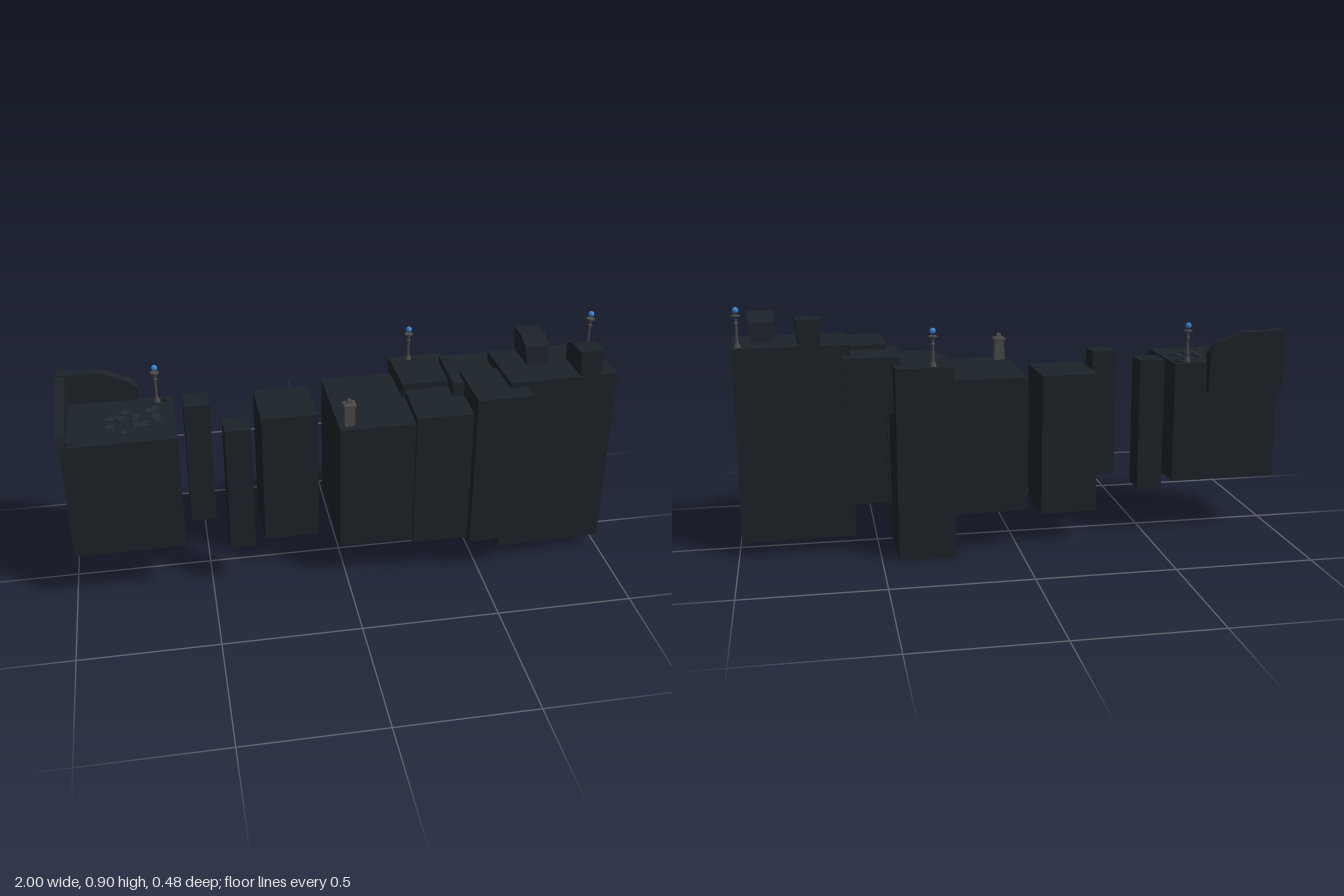
import * as THREE from 'three';

const mat = (color) => new THREE.MeshStandardMaterial({ color, flatShading: true });
const stone = mat(0x1c2329);
const rubbleMat = mat(0x222b36);
const metal = mat(0x4a4a4a);
const glow = new THREE.MeshStandardMaterial({ color: 0x3b82d6 });

export function createModel() {
  const root = new THREE.Group();

  function add(name, geometry, material, x = 0, y = 0, z = 0, parent = root) {
    const mesh = new THREE.Mesh(geometry, material);
    mesh.name = name;
    mesh.position.set(x, y, z);
    parent.add(mesh);
    return mesh;
  }

  // Block given by its overall extents, turned slightly about y
  function block(name, [x0, x1], [y0, y1], [z0, z1], turn = 0) {
    const s = Math.abs(Math.sin(turn));
    const w = x1 - x0, d = z1 - z0;
    const geo = new THREE.BoxGeometry(w - d * s, y1 - y0, d - w * s);
    add(name, geo, stone, (x0 + x1) / 2, (y0 + y1) / 2, (z0 + z1) / 2).rotation.y = turn;
  }

  // Flat outline extruded along z
  function slab(points, depth) {
    const shape = new THREE.Shape(points.map(([x, y]) => new THREE.Vector2(x, y)));
    return new THREE.ExtrudeGeometry(shape, { depth, bevelEnabled: false });
  }

  // Main platforms, from the model's right to its left
  block('endPlatform', [-0.993, -0.59], [0.208, 0.655], [-0.14, 0.182], 0.01);
  block('backPillar', [-0.56, -0.465], [0.18, 0.668], [-0.12, -0.02], 0.01);
  block('frontPillar', [-0.432, -0.338], [0.18, 0.668], [0.085, 0.187], 0.02);
  block('middlePlatform', [-0.295, -0.085], [0.12, 0.635], [-0.172, 0.062], 0.02);
  block('widePlatform', [-0.03, 0.25], [0.15, 0.64], [-0.21, 0.197], 0.008);
  block('tallBackBlock', [0.235, 0.445], [0, 0.693], [-0.243, -0.008], 0.02);
  block('lowFrontBlock', [0.245, 0.455], [0.145, 0.67], [-0.015, 0.215], -0.02);
  block('hangingBlock', [0.41, 0.615], [0.52, 0.72], [-0.165, 0.07], -0.02);
  block('highFrontBlock', [0.45, 0.658], [0.14, 0.737], [0, 0.24], 0.02);
  block('farPlatform', [0.583, 0.997], [0.054, 0.757], [-0.111, 0.168], 0.035);

  // Corner wall of rock: back panel overhanging the platform, and side panel
  const backWall = slab([[-1, 0.55], [-0.715, 0.55], [-0.715, 0.7], [-0.745, 0.73],
    [-0.84, 0.77], [-1, 0.773]], 0.04);
  add('rockWallBack', backWall, stone, 0, 0, -0.172);
  const sideWall = slab([[-0.182, 0.64], [0.17, 0.64], [0.17, 0.773], [0.08, 0.765],
    [-0.1, 0.73], [-0.17, 0.69]], 0.033);
  sideWall.rotateY(Math.PI / 2);
  add('rockWallSide', sideWall, stone, -1, 0, 0);

  // Rubble on the end platform
  let seed = 7;
  const rnd = () => (seed = (seed * 16807) % 2147483647) / 2147483647;
  for (let i = 0; i < 16; i++) {
    const size = 0.012 + rnd() * 0.025;
    const chip = add('rubble', new THREE.BoxGeometry(size, 0.008, size * 0.8), rubbleMat,
      -0.83 + rnd() * 0.19, 0.655, -0.06 + rnd() * 0.18);
    chip.rotation.y = rnd() * 3;
  }
  add('cornerRock', new THREE.DodecahedronGeometry(0.025), stone, -0.967, 0.66, 0.155);
  add('edgeRock', new THREE.DodecahedronGeometry(0.015), stone, -0.615, 0.655, -0.11);

  // Boulders on the far platform, chamfered on their outer ends
  function boulder(name, x, z, length, dir) {
    const h = 0.095, e = length / 2;
    const geo = slab([[-e, 0], [e, 0], [e, h], [-e + 0.065, h], [-e + 0.01, h - 0.025]], 0.09);
    geo.rotateY(Math.PI / 2).translate(-0.045, 0, 0);
    // Narrow the foot
    const p = geo.attributes.position;
    for (let i = 0; i < p.count; i++) if (p.getY(i) < 0.01) p.setX(i, p.getX(i) * 0.82);
    geo.computeVertexNormals();
    add(name, geo, stone, x, 0.755, z).rotation.y = dir;
  }
  boulder('backBoulder', 0.727, -0.03, 0.14, 0.03);
  boulder('frontBoulder', 0.89, 0.081, 0.145, Math.PI + 0.03);

  // Lamp posts with a dish and a glowing ball
  function lamp(x, y, z, h) {
    const g = new THREE.Group();
    g.name = 'lampPost';
    g.position.set(x, y, z);
    root.add(g);
    const profile = [[0, 0], [0.012, 0], [0.01, 0.008], [0.005, 0.02], [0.0045, h - 0.05],
      [0.0075, h - 0.048], [0.0075, h - 0.043], [0.004, h - 0.04], [0.005, h - 0.028],
      [0.016, h - 0.021], [0.016, h - 0.017], [0, h - 0.017]];
    const pts = profile.map(([r, py]) => new THREE.Vector2(r, py));
    add('post', new THREE.LatheGeometry(pts, 8), metal, 0, 0, 0, g);
    add('ball', new THREE.SphereGeometry(0.011, 16, 12), glow, 0, h, 0, g);
  }
  lamp(0.968, 0.757, -0.082, 0.13);
  lamp(0.306, 0.693, -0.213, 0.124);
  lamp(-0.65, 0.655, -0.106, 0.135);

  // Small stepped pedestal on the wide platform
  const pedestal = [[0, 0], [0.027, 0], [0.025, 0.075], [0.031, 0.077], [0.031, 0.084],
    [0.014, 0.088], [0.01, 0.1], [0, 0.104]].map(([r, y]) => new THREE.Vector2(r, y));
  add('pedestal', new THREE.LatheGeometry(pedestal, 4, Math.PI / 4), metal, 0.012, 0.638, 0.152);

  return root;
}
